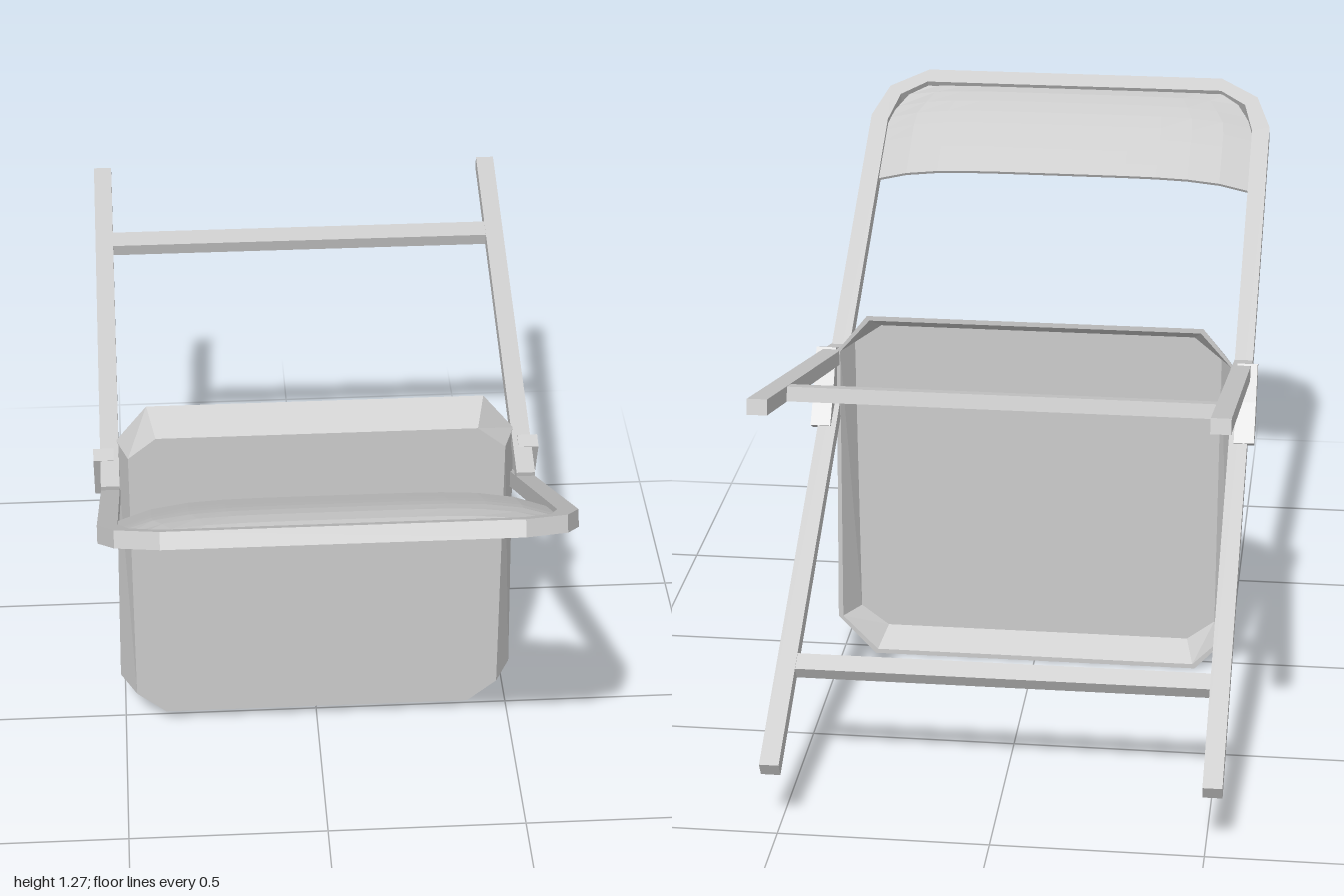
import * as THREE from 'three';

const material = new THREE.MeshStandardMaterial({ color: 0xcccccc, flatShading: true, side: THREE.DoubleSide });

function part(name, geometry, parent) {
  const mesh = new THREE.Mesh(geometry, material);
  mesh.name = name;
  parent.add(mesh);
  return mesh;
}

const polygon = (points) => new THREE.Shape(points.map(([x, y]) => new THREE.Vector2(x, y)));
const mirrored = (points) => [...points, ...points.map(([x, y]) => [-x, y]).reverse()];

// Pressed seat pan: octagonal rings joined front cap -> outer wall -> lip -> inner wall -> inner floor
function seatGeometry() {
  const ring = (inset, z) => {
    const half = [[0.415 - inset * 0.5, 0.002 + inset], [0.51 - inset, 0.105],
      [0.498 - inset * 0.7, 0.84], [0.42 - inset * 0.5, 0.938 - inset]];
    return mirrored(half).map(([x, y]) => [x, y, z]);
  };
  const rings = [ring(0.041, 0.043), ring(0, -0.042), ring(0.012, -0.042), ring(0.05, 0.028)];
  const n = 8;
  const index = [];
  for (let r = 0; r < rings.length - 1; r++) {
    for (let i = 0; i < n; i++) {
      const a = r * n + i, b = r * n + (i + 1) % n;
      index.push(a, a + n, b, b, a + n, b + n);
    }
  }
  const last = (rings.length - 1) * n;
  for (let i = 1; i < n - 1; i++) {
    index.push(0, i, i + 1, last, last + i + 1, last + i);
  }
  const geometry = new THREE.BufferGeometry();
  geometry.setAttribute('position', new THREE.Float32BufferAttribute(rings.flat(2), 3));
  geometry.setIndex(index);
  geometry.computeVertexNormals();
  return geometry;
}

// Thin back panel, bulging away from the frame plane and narrowing into the top corners
function panelGeometry() {
  const geometry = new THREE.BoxGeometry(2, 1, 0.008, 12, 8, 1);
  const p = geometry.attributes.position;
  for (let i = 0; i < p.count; i++) {
    const u = p.getX(i);
    const v = p.getY(i) + 0.5;
    const halfWidth = 0.5 - 0.075 * Math.max(0, (v - 0.6) / 0.4);
    const bulge = 0.044 * (1 - Math.pow(Math.abs(u), 5)) * (1 - Math.pow(v, 5));
    p.setXYZ(i, u * halfWidth, 0.735 + 0.36 * v, p.getZ(i) - bulge);
  }
  geometry.computeVertexNormals();
  return geometry;
}

export function createModel() {
  const chair = new THREE.Group();
  chair.name = 'foldingChair';

  part('seat', seatGeometry(), chair);

  // Long frame, drawn upright and then leaned forward
  const frame = new THREE.Group();
  frame.name = 'longFrame';
  frame.position.y = 0.71;
  frame.rotation.x = Math.atan2(1.97, 1.09);
  chair.add(frame);

  const outer = [[0.538, -1.13], [0.538, 0.955], [0.5, 1.065], [0.4, 1.131]];
  const inner = [[0.4, 1.085], [0.468, 1.035], [0.492, 0.94], [0.492, -1.13]];
  const flip = (points) => points.map(([x, y]) => [-x, y]).reverse();
  const hoop = new THREE.ExtrudeGeometry(
    polygon([...outer, ...flip(outer), ...flip(inner), ...inner]),
    { depth: 0.04, bevelEnabled: false });
  part('frameHoop', hoop.translate(0, 0, -0.02), frame);
  part('backPanel', panelGeometry(), frame);
  part('frameCrossbar', new THREE.BoxGeometry(1, 0.045, 0.036), frame).position.y = -0.834;

  // Folding legs with their crossbar
  const legs = new THREE.Group();
  legs.name = 'foldingLegs';
  legs.position.set(0, 0.93, -0.445);
  legs.rotation.x = Math.atan2(0.29, 1.09);
  chair.add(legs);
  for (const side of [-1, 1]) {
    const name = side > 0 ? 'left' : 'right';
    part(name + 'FoldingLeg', new THREE.BoxGeometry(0.046, 0.036, 1.13), legs).position.x = side * 0.515;
  }
  part('legCrossbar', new THREE.BoxGeometry(1, 0.034, 0.05), legs).position.z = -0.295;

  // Hinge links between the legs and the frame
  const link = polygon([[0.025, 0.825], [-0.01, 0.838], [-0.06, 0.755], [-0.125, 0.672], [-0.09, 0.652], [-0.03, 0.69]]);
  const linkGeometry = new THREE.ExtrudeGeometry(link, { depth: 0.05, bevelEnabled: false });
  linkGeometry.rotateY(-Math.PI / 2).translate(0.025, 0, 0);
  for (const side of [-1, 1]) {
    part((side > 0 ? 'left' : 'right') + 'HingeLink', linkGeometry, chair).position.x = side * 0.53;
  }
  return chair;
}
